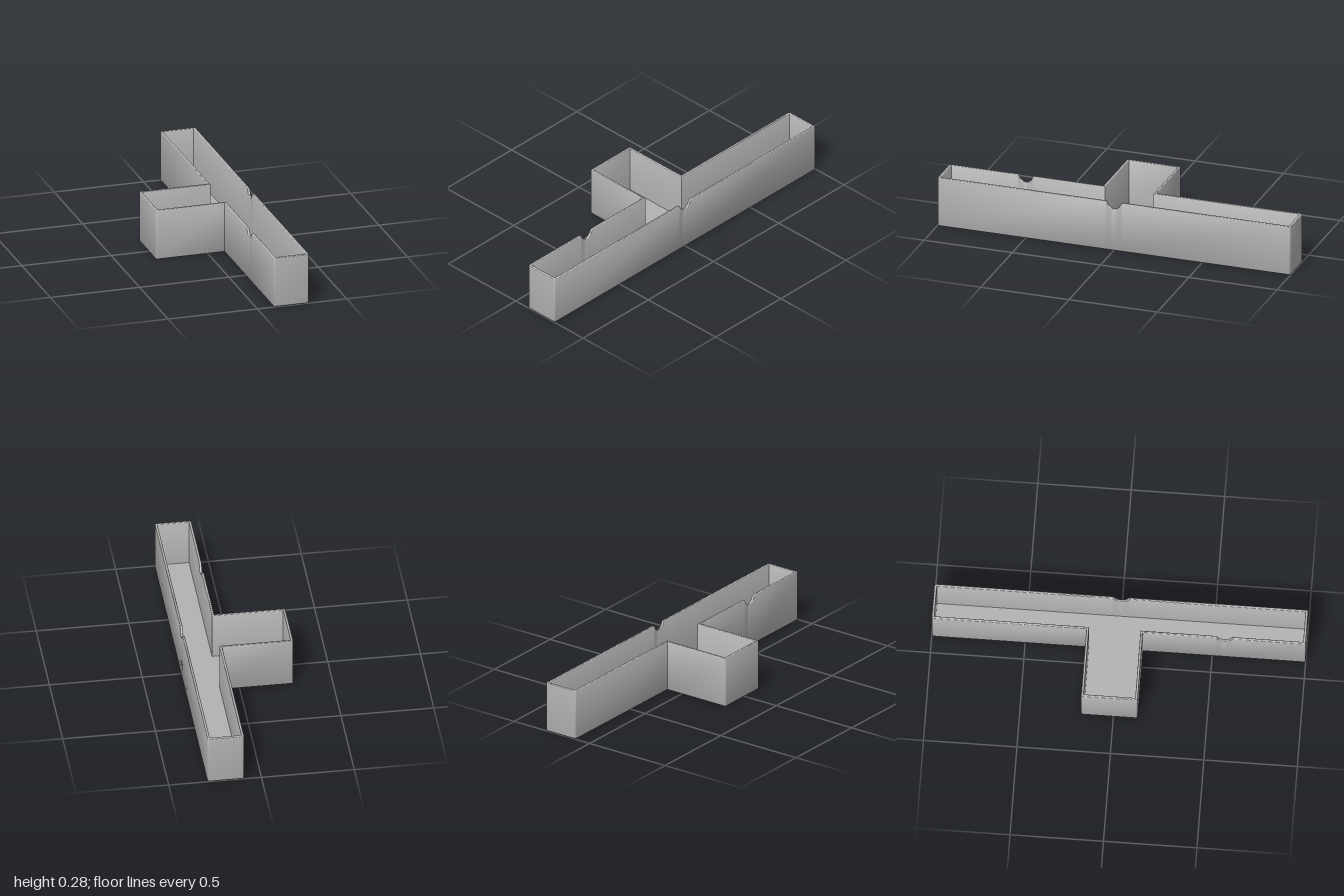
import * as THREE from 'three';
import { toCreasedNormals } from 'three/addons/utils/BufferGeometryUtils.js';

const H = 0.28, WALL = 0.014, FLOOR = 0.014, ROUND = 0.005, CORNER = 0.01;

// T-shaped outline of the tray as [x, z]
const outline = [
  [0.29, 1], [0.29, -1], [0.093, -1], [0.093, -0.173],
  [-0.29, -0.173], [-0.29, 0.13], [0.093, 0.13], [0.093, 1],
];

// Rim notches: index of the wall and the centre along z
const notches = [{ edge: 0, z: 0 }, { edge: 6, z: 0.565 }];
// Half of the notch profile: [distance from centre, drop of the rim]
const notchHalf = [[0, 0.04], [0.008, 0.039], [0.016, 0.036], [0.023, 0.031], [0.029, 0.025],
  [0.034, 0.017], [0.037, 0.01], [0.041, 0.004], [0.045, 0.001], [0.05, 0]];

// Stations around the outline; each gives its [x, z] for an inset d
function makeStations() {
  const stations = [], n = outline.length;
  const dir = (i) => {
    const a = outline[i % n], b = outline[(i + 1) % n];
    return [Math.sign(b[0] - a[0]), Math.sign(b[1] - a[1])];
  };
  for (let i = 0; i < n; i++) {
    const [cx, cz] = outline[i], e1 = dir(i + n - 1), e2 = dir(i);
    const n1 = [e1[1], -e1[0]], n2 = [e2[1], -e2[0]];
    const convex = e1[0] * e2[1] - e1[1] * e2[0] < 0;
    const steps = convex ? 4 : 0;
    for (let k = 0; k <= steps; k++) {
      const a = steps ? (k / steps) * Math.PI / 2 : 0;
      stations.push({
        drop: 0, first: k === 0,
        at: (d) => {
          const m = convex ? Math.max(CORNER, d) : d, r = convex ? m - d : 0;
          return [0, 1].map((q) => outline[i][q] + (n1[q] + n2[q]) * m
            - r * (n1[q] * Math.cos(a) + n2[q] * Math.sin(a)));
        },
      });
    }
    // Extra stations where the rim dips into a notch
    for (const notch of notches.filter((o) => o.edge === i)) {
      const full = [...notchHalf.slice(1).reverse().map(([u, y]) => [-u, y]), ...notchHalf];
      for (const [u, drop] of full) {
        const z = notch.z + u * e2[1];
        stations.push({ drop, first: false, at: (d) => [cx + n2[0] * d, z] });
      }
    }
  }
  return stations;
}

// Wall section from the bottom edge, over the rounded rim, down to the floor
function makeSection() {
  const section = [];
  const arc = (cd, cy, from, to, rim) => {
    for (let k = 0; k <= 4; k++) {
      const a = from + (to - from) * k / 4;
      section.push({ d: cd + ROUND * Math.cos(a), y: cy + ROUND * Math.sin(a), rim });
    }
  };
  arc(ROUND, ROUND, Math.PI * 1.5, Math.PI, false);
  arc(ROUND, H - ROUND, Math.PI, Math.PI / 2, true);
  arc(WALL - ROUND, H - ROUND, Math.PI / 2, 0, true);
  section.push({ d: WALL, y: FLOOR, rim: false });
  return section;
}

function wallGeometry(stations) {
  const section = makeSection(), m = section.length, pos = [], index = [];
  stations.forEach((s, i) => {
    const next = ((i + 1) % stations.length) * m;
    section.forEach((p, j) => {
      const [x, z] = s.at(p.d);
      pos.push(x, p.y - (p.rim ? s.drop : 0), z);
      if (j === m - 1) return;
      const a = i * m + j, b = next + j;
      index.push(a, b, b + 1, a, b + 1, a + 1);
    });
  });
  const g = new THREE.BufferGeometry();
  g.setAttribute('position', new THREE.Float32BufferAttribute(pos, 3));
  g.setIndex(index);
  return toCreasedNormals(g, 0.6);
}

// Flat sheet in the shape of the outline, facing up or down
function sheet(points, y, up) {
  const s = up ? -1 : 1;
  const g = new THREE.ShapeGeometry(new THREE.Shape(points.map(([x, z]) => new THREE.Vector2(x, s * z))));
  return g.rotateX(s * Math.PI / 2).translate(0, y, 0);
}

export function createModel() {
  const group = new THREE.Group();
  group.name = 'tray';
  const grey = new THREE.MeshStandardMaterial({ color: 0xb2b2b2 });
  grey.name = 'grey';
  const add = (name, geometry) => {
    const mesh = new THREE.Mesh(geometry, grey);
    mesh.name = name;
    group.add(mesh);
  };

  const stations = makeStations();
  add('notchedWalls', wallGeometry(stations));
  add('floor', sheet(stations.filter((s) => s.first).map((s) => s.at(WALL)), FLOOR, true));
  add('underside', sheet(stations.map((s) => s.at(ROUND)), 0, false));
  return group;
}
